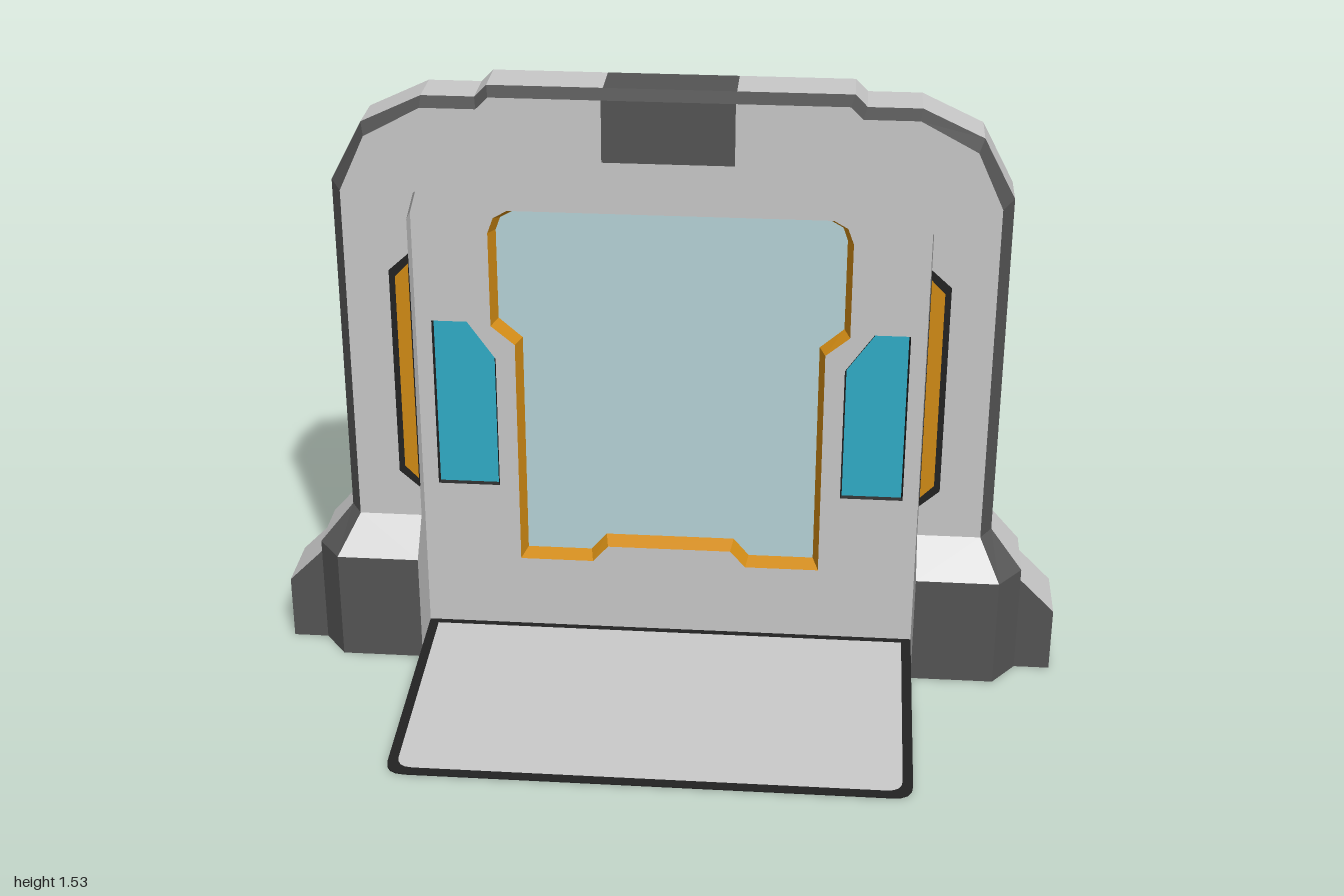
import * as THREE from 'three';

const paint = (name, color) => {
  const m = new THREE.MeshStandardMaterial({ color, side: THREE.DoubleSide });
  m.name = name;
  return m;
};

// Flat convex faces, each a list of [x, y, z] corners, fanned into triangles
function faces(list) {
  const pos = [];
  for (const f of list)
    for (let i = 1; i < f.length - 1; i++) pos.push(...f[0], ...f[i], ...f[i + 1]);
  const g = new THREE.BufferGeometry();
  g.setAttribute('position', new THREE.Float32BufferAttribute(pos, 3));
  g.computeVertexNormals();
  return g;
}

// Strip of quads between two outlines of equal length at two depths
function band(a, za, b, zb, closed = false) {
  const list = [], n = a.length;
  for (let i = 0; i < (closed ? n : n - 1); i++) {
    const j = (i + 1) % n;
    list.push([[...a[i], za], [...a[j], za], [...b[j], zb], [...b[i], zb]]);
  }
  return faces(list);
}

const flip = (pts, s) => pts.map(([x, ...r]) => [x * s, ...r]);
const shapeOf = pts => new THREE.Shape(pts.map(p => new THREE.Vector2(...p)));
const plate = (pts, z) => new THREE.ShapeGeometry(shapeOf(pts)).translate(0, 0, z);
const slab = (pts, z, d) =>
  new THREE.ExtrudeGeometry(shapeOf(pts), { depth: d, bevelEnabled: false }).translate(0, 0, z);
const mirrored = half => [...half, ...flip(half, -1).reverse()];

export function createModel() {
  const model = new THREE.Group();
  const grey = paint('light grey', 0xc8c8c8);
  const dark = paint('dark grey', 0x545454);
  const black = paint('black trim', 0x222222);
  const orange = paint('orange', 0xd08a14);
  const teal = paint('teal', 0x30acc6);
  const glass = paint('pale glass', 0xb6d2d7);

  const add = (parent, name, geo, mat) => {
    const m = new THREE.Mesh(geo, mat);
    m.name = name;
    parent.add(m);
  };

  const BACK = -0.4, SHOULDER = -0.28, FRONT = -0.23, DOOR = -0.28;

  // Half outlines, from the foot up to the top block
  const outer = [[.83, .38], [.83, 1.28], [.75, 1.43], [.6, 1.5], [.47, 1.5], [.44, 1.53], [.16, 1.53]];
  const rim = [[.8, .38], [.8, 1.27], [.735, 1.41], [.595, 1.485], [.46, 1.485], [.43, 1.515], [.16, 1.515]];
  const tunnel = [[.64, 0], [.64, 1.2], [.62, 1.27], [.55, 1.3], [.43, 1.3], [.38, 1.33], [.2, 1.33], [.16, 1.36]];

  for (const s of [1, -1]) {
    const side = new THREE.Group();
    side.name = s > 0 ? 'leftFrame' : 'rightFrame';
    model.add(side);
    const o = flip(outer, s), r = flip(rim, s), t = flip(tunnel, s);

    // Hollow arch, open at the back
    add(side, 'outerWall', band(o, BACK, o, SHOULDER), grey);
    add(side, 'chamfer', band(o, SHOULDER, r, FRONT), dark);
    add(side, 'frontFace', plate([...r, ...t.slice(1).reverse(), [.64 * s, .38]], FRONT), grey);
    add(side, 'tunnelWall', band(t, BACK, t, FRONT), grey);

    // Stepped foot
    add(side, 'footDark', faces([
      [[.64, 0, -.15], [.85, 0, -.15], [.85, .29, -.15], [.64, .29, -.15]],
      [[.85, 0, -.15], [.91, 0, FRONT], [.91, .29, FRONT], [.85, .29, -.15]],
      [[.85, .29, -.15], [.91, .29, FRONT], [.83, .38, SHOULDER], [.8, .38, FRONT]],
      [[.91, 0, FRONT], [1, 0, FRONT], [1, .17, FRONT], [.91, .26, FRONT]],
      [[1, 0, FRONT], [1, 0, BACK], [1, .17, BACK], [1, .17, FRONT]],
    ].map(f => flip(f, s))), dark);
    add(side, 'footLight', faces([
      [[.64, .29, -.15], [.85, .29, -.15], [.8, .38, FRONT], [.64, .38, FRONT]],
      [[.91, .29, FRONT], [.91, .29, BACK], [.83, .38, BACK], [.83, .38, SHOULDER]],
      [[.91, .26, FRONT], [.91, .26, BACK], [.91, .29, BACK], [.91, .29, FRONT]],
      [[1, .17, FRONT], [1, .17, BACK], [.91, .26, BACK], [.91, .26, FRONT]],
      [[.64, 0, FRONT], [.64, 0, -.15], [.64, .29, -.15], [.64, .38, FRONT]],
    ].map(f => flip(f, s))), grey);

    // Side lamp beside the tunnel
    add(side, 'lampSurround', slab(flip([[.64, .465], [.69, .51], [.69, 1.065], [.64, 1.11]], s), -.234, .008), black);
    add(side, 'lamp', slab(flip([[.641, .49], [.675, .525], [.675, 1.05], [.641, 1.085]], s), -.2345, .009), orange);
  }

  // Dark block across the top of the arch
  add(model, 'topBlock', faces([
    [[-.16, 1.53, BACK], [.16, 1.53, BACK], [.16, 1.53, SHOULDER], [-.16, 1.53, SHOULDER]],
    [[-.16, 1.53, SHOULDER], [.16, 1.53, SHOULDER], [.16, 1.515, FRONT], [-.16, 1.515, FRONT]],
    [[-.16, 1.36, FRONT], [.16, 1.36, FRONT], [.16, 1.515, FRONT], [-.16, 1.515, FRONT]],
    [[-.16, 1.36, BACK], [.16, 1.36, BACK], [.16, 1.36, FRONT], [-.16, 1.36, FRONT]],
  ]), dark);

  // Door panel with a large window and two side windows
  const door = new THREE.Group();
  door.name = 'door';
  model.add(door);
  const winOuter = mirrored([[.16, .28], [.2, .235], [.39, .235], [.39, .85], [.45, .9], [.45, 1.15], [.435, 1.19], [.4, 1.21]]);
  const winInner = mirrored([[.167, .297], [.207, .25], [.375, .25], [.375, .855], [.435, .907], [.435, 1.145], [.423, 1.178], [.393, 1.195]]);
  const sideOuter = [[.44, .45], [.6, .45], [.6, .91], [.51, .91], [.44, .81]];
  const sideInner = [[.444, .454], [.596, .454], [.596, .906], [.512, .906], [.444, .809]];

  const panel = shapeOf(mirrored(tunnel));
  panel.holes.push(shapeOf(winOuter), shapeOf(sideOuter), shapeOf(flip(sideOuter, -1)));
  add(door, 'doorPanel', new THREE.ShapeGeometry(panel).translate(0, 0, DOOR), grey);
  add(door, 'windowFrame', band(winOuter, DOOR, winInner, DOOR - .04, true), orange);
  add(door, 'window', plate(winInner, DOOR - .04), glass);
  for (const s of [1, -1]) {
    const a = flip(sideOuter, s), b = flip(sideInner, s);
    add(door, 'sideWindowFrame', band(a, DOOR, b, DOOR - .01, true), black);
    add(door, 'sideWindow', plate(b, DOOR - .01), teal);
  }

  // Sloping ramp: rounded outline, thick at the door and thin at the front
  const ramp = new THREE.Group();
  ramp.name = 'ramp';
  model.add(ramp);
  const outline = (w, z0, z1, r) => {
    const p = new THREE.Shape();
    p.moveTo(-w, -z0);
    p.lineTo(-w, -z1 + r);
    p.quadraticCurveTo(-w, -z1, -w + r, -z1);
    p.lineTo(w - r, -z1);
    p.quadraticCurveTo(w, -z1, w, -z1 + r);
    p.lineTo(w, -z0);
    return p;
  };
  const slope = (geo, lift) => {
    const p = geo.attributes.position;
    for (let i = 0; i < p.count; i++) {
      const top = .004 + (.39 - p.getZ(i)) * .05;
      p.setY(i, p.getY(i) > .5 ? top + lift : .001);
    }
    geo.computeVertexNormals();
    return geo;
  };
  const body = new THREE.ExtrudeGeometry(outline(.64, DOOR, .39, .05), { depth: 1, bevelEnabled: false, curveSegments: 4 });
  add(ramp, 'rampEdge', slope(body.rotateX(-Math.PI / 2), 0), black);
  const deck = () => new THREE.ShapeGeometry(outline(.615, DOOR + .02, .367, .04), 4).rotateX(-Math.PI / 2);
  add(ramp, 'rampDeck', slope(deck().translate(0, 1, 0), .002), grey);
  add(ramp, 'rampUnderside', deck().scale(1, -1, 1), grey);

  return model;
}
